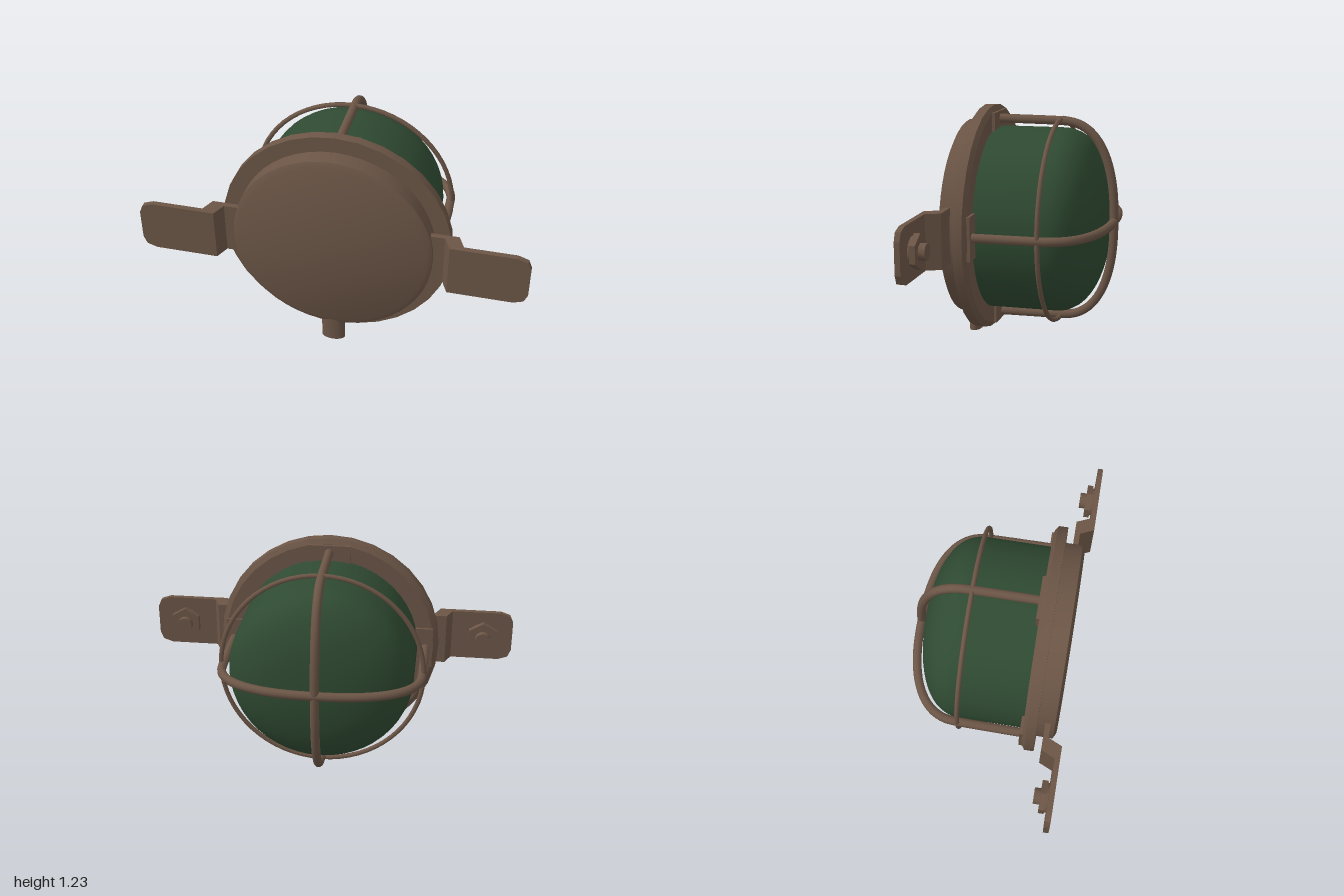
import * as THREE from 'three';
import { toCreasedNormals } from 'three/addons/utils/BufferGeometryUtils.js';

const CY = 0.635; // height of the lamp axis

export function createModel() {
  const model = new THREE.Group();
  model.name = 'bulkheadLamp';
  const metal = new THREE.MeshStandardMaterial({ color: 0x6b5546 });
  metal.name = 'brown metal';
  const glass = new THREE.MeshStandardMaterial({ color: 0x2f4a32 });
  glass.name = 'green glass';

  const add = (name, geometry, material, parent = model) => {
    const mesh = new THREE.Mesh(geometry, material);
    mesh.name = name;
    parent.add(mesh);
    return mesh;
  };
  // Turned part about the z axis, profile as [radius, z] from front to back
  const turned = (profile, segments, crease = 0.5) => {
    const g = new THREE.LatheGeometry(profile.map(([r, z]) => new THREE.Vector2(r, -z)), segments);
    g.rotateX(-Math.PI / 2);
    return toCreasedNormals(g, crease);
  };
  // Quarter of a squarish ellipse, running from the rim to the tip
  const quarter = (radius, depth, n, steps) => Array.from({ length: steps + 1 }, (_, i) => {
    const a = (i / steps) * Math.PI / 2;
    const c = i === steps ? 0 : Math.cos(a);
    return [radius * c ** (2 / n), -0.12 - depth * Math.sin(a) ** (2 / n)];
  });

  const body = new THREE.Group();
  body.name = 'lampBody';
  body.position.y = CY;
  model.add(body);

  // Housing and flange
  add('housing', turned([[0, 0.393], [0.485, 0.393], [0.515, 0.378], [0.515, 0.28]], 48), metal, body);
  add('flange', turned([[0.4, 0.29], [0.597, 0.29], [0.597, 0.24], [0.57, 0.222], [0.4, 0.222]], 32, 0.3), metal, body);

  // Glass dome
  add('glassDome', turned([[0.484, 0.23], ...quarter(0.484, 0.255, 2.3, 16)], 48, 0.7), glass, body);

  // Cage: two crossed hoops, a ring and four foot plates
  const arc = quarter(0.523, 0.284, 2.4, 12);
  const side = [[0.527, 0.225], [0.526, 0.1], ...arc];
  const path = [
    ...side.map(([r, z]) => new THREE.Vector3(r, 0, z)),
    ...side.slice(0, -1).reverse().map(([r, z]) => new THREE.Vector3(-r, 0, z)),
  ];
  const hoop = new THREE.TubeGeometry(new THREE.CatmullRomCurve3(path), 80, 0.0235, 10);
  for (let i = 0; i < 2; i++) {
    add('cageHoop', hoop, metal, body).rotation.z = i * Math.PI / 2;
  }
  add('cageRing', new THREE.TorusGeometry(0.532, 0.0125, 8, 64), metal, body).position.z = -0.12;
  const foot = new THREE.BoxGeometry(0.095, 0.225, 0.022);
  foot.translate(0.518, 0, 0.218);
  for (let i = 0; i < 4; i++) {
    add('cageFoot', foot, metal, body).rotation.z = i * Math.PI / 2;
  }

  // Mounting arms: joggled strip, rounded end plate and bolt
  const strip = new THREE.Shape([
    [0.49, 0.328], [0.635, 0.328], [0.667, 0.4], [0.8, 0.4],
    [0.8, 0.428], [0.6, 0.428], [0.568, 0.356], [0.49, 0.356],
  ].map(([x, z]) => new THREE.Vector2(x, -z)));
  const stripGeo = new THREE.ExtrudeGeometry(strip, { depth: 0.28, bevelEnabled: false });
  stripGeo.rotateX(-Math.PI / 2).translate(0, -0.14, 0);

  const tip = new THREE.Shape([
    [0.8, -0.14], [0.93, -0.14], [0.982, -0.122], [1, -0.08],
    [1, 0.08], [0.982, 0.122], [0.93, 0.14], [0.8, 0.14],
  ].map(([x, y]) => new THREE.Vector2(x, y)));
  const tipGeo = new THREE.ExtrudeGeometry(tip, { depth: 0.028, bevelEnabled: false });
  tipGeo.translate(0, 0, 0.4);

  const disc = (radius, z0, z1, sides) => {
    const g = new THREE.CylinderGeometry(radius, radius, z1 - z0, sides);
    g.rotateX(Math.PI / 2).translate(0.838, 0, (z0 + z1) / 2);
    return toCreasedNormals(g, 0.6);
  };
  for (const turn of [0, Math.PI]) {
    const arm = new THREE.Group();
    arm.name = turn ? 'rightArm' : 'leftArm';
    arm.rotation.z = turn; // the arm is symmetric top to bottom
    body.add(arm);
    add('armStrip', stripGeo, metal, arm);
    add('armTip', tipGeo, metal, arm);
    add('washer', disc(0.075, 0.388, 0.402, 20), metal, arm);
    add('hexNut', disc(0.088, 0.36, 0.39, 6), metal, arm);
    add('boltEnd', disc(0.042, 0.327, 0.362, 16), metal, arm);
  }

  // Flattened hollow cable inlet underneath
  const inlet = new THREE.LatheGeometry(
    [[0, 0.08], [0.047, 0.08], [0.047, 0], [0.063, 0], [0.063, 0.15]].map(([r, y]) => new THREE.Vector2(r, y)), 24);
  inlet.scale(1, 1, 0.53);
  add('cableInlet', toCreasedNormals(inlet, 0.7), metal).position.z = 0.355;

  return model;
}
